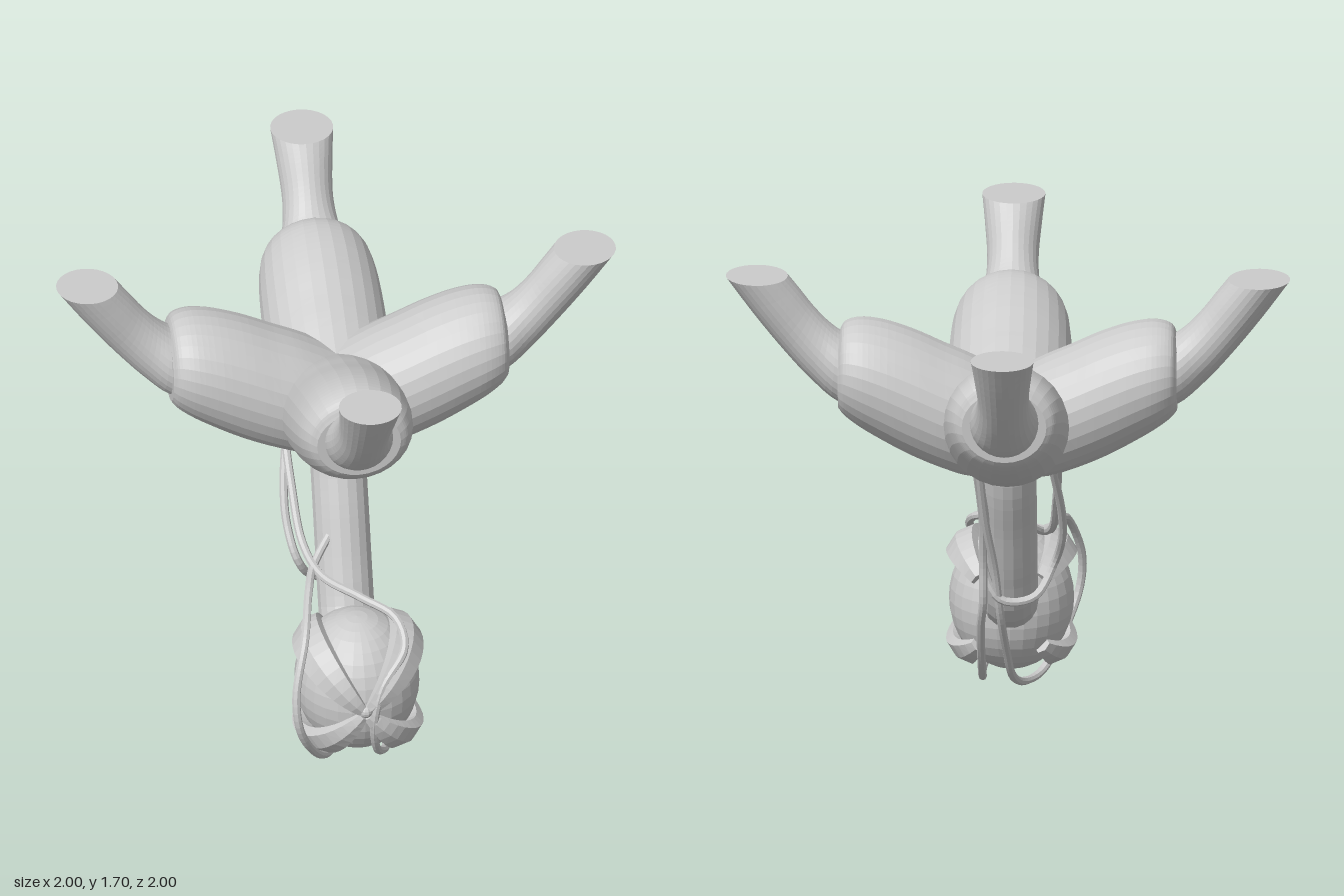
import * as THREE from 'three';

const V = (x, y, z) => new THREE.Vector3(x, y, z);
const material = new THREE.MeshStandardMaterial({ color: 0xcccccc, flatShading: true, side: THREE.DoubleSide });

function add(parent, name, geometry) {
  const mesh = new THREE.Mesh(geometry, material);
  mesh.name = name;
  parent.add(mesh);
  return mesh;
}

// Skin over oval rings; each section is { c: centre, up: half height, side: half width }
function loft(sections, sides) {
  const pos = [], idx = [], last = sections.length - 1;
  for (const { c, up, side } of sections) {
    for (let j = 0; j < sides; j++) {
      const a = (j / sides) * Math.PI * 2;
      pos.push(...c.clone().addScaledVector(up, Math.cos(a)).addScaledVector(side, Math.sin(a)).toArray());
    }
  }
  const start = pos.length / 3;
  pos.push(...sections[0].c.toArray(), ...sections[last].c.toArray());
  for (let j = 0; j < sides; j++) {
    const k = (j + 1) % sides;
    for (let i = 0; i < last; i++) {
      const a = i * sides + j, b = i * sides + k;
      idx.push(a, a + sides, b, b, a + sides, b + sides);
    }
    idx.push(start, j, k, start + 1, last * sides + k, last * sides + j);
  }
  const g = new THREE.BufferGeometry();
  g.setAttribute('position', new THREE.Float32BufferAttribute(pos, 3));
  g.setIndex(idx);
  g.computeVertexNormals();
  return g;
}

// Rows are [topZ, topY, bottomZ, bottomY, halfWidth], smoothed along the length
function limb(rows, steps) {
  const curve = (f) => new THREE.CatmullRomCurve3(rows.map(f));
  const top = curve((r) => V(r[4], r[1], r[0]));
  const bottom = curve((r) => V(r[4], r[3], r[2]));
  const sections = [];
  for (let i = 0; i <= steps; i++) {
    const t = top.getPoint(i / steps), b = bottom.getPoint(i / steps);
    const side = V(t.x, 0, 0);
    t.x = b.x = 0;
    sections.push({ c: t.clone().add(b).multiplyScalar(0.5), up: t.clone().sub(b).multiplyScalar(0.5), side });
  }
  return loft(sections, 28);
}

function tube(points, radius, steps, sides) {
  const path = new THREE.CatmullRomCurve3(points.map((p) => V(...p)));
  return new THREE.TubeGeometry(path, steps, radius, sides);
}

export function createModel() {
  const model = new THREE.Group();
  model.name = 'hangingPod';

  // Four thick sleeves in a cross, each with a branch rising out of it
  const sleeve = limb([
    [0, 1.34, 0, 0.99, 0.215], [0.13, 1.41, 0.13, 0.975, 0.22], [0.22, 1.45, 0.22, 1.0, 0.222],
    [0.34, 1.505, 0.34, 1.05, 0.22], [0.45, 1.54, 0.45, 1.11, 0.213], [0.53, 1.547, 0.53, 1.16, 0.2],
    [0.58, 1.53, 0.58, 1.2, 0.178], [0.6, 1.49, 0.6, 1.225, 0.15],
  ], 28);
  const branch = limb([
    [0.5, 1.46, 0.5, 1.22, 0.125], [0.59, 1.5, 0.6, 1.245, 0.123], [0.64, 1.54, 0.7, 1.33, 0.1],
    [0.69, 1.595, 0.79, 1.43, 0.091], [0.74, 1.66, 0.9, 1.57, 0.1], [0.78, 1.71, 1.0, 1.71, 0.112],
  ], 20);
  for (let i = 0; i < 4; i++) {
    const arm = new THREE.Group();
    arm.name = 'arm' + (i + 1);
    arm.rotation.y = (i * Math.PI) / 2;
    add(arm, 'sleeve', sleeve);
    add(arm, 'branch', branch);
    model.add(arm);
  }

  // Stalk bending forward to the bulb
  add(model, 'stalk', tube([
    [0, 1.15, 0], [0, 0.95, 0.045], [0, 0.75, 0.13], [0, 0.55, 0.215], [0, 0.41, 0.29], [0, 0.34, 0.42],
  ], 0.1, 20, 18));

  // Bulb with a small tip
  const centre = V(0, 0.32, 0.54);
  const bulb = add(model, 'bulb', new THREE.SphereGeometry(1, 28, 18));
  bulb.scale.set(0.222, 0.26, 0.235);
  bulb.position.copy(centre);
  const tip = add(model, 'bulbTip', new THREE.SphereGeometry(0.025, 10, 8));
  tip.position.set(0, 0.33, 0.775);

  // Four claws wrapping the bulb from the stalk to the tip
  const claws = new THREE.Group();
  claws.name = 'claws';
  model.add(claws);
  [48, 132, 228, 312].forEach((deg, i) => {
    const a = THREE.MathUtils.degToRad(deg);
    const d = V(Math.cos(a), Math.sin(a), 0), z = V(0, 0, 1);
    const across = z.clone().cross(d);
    const sections = [];
    for (let k = 0; k <= 16; k++) {
      const t = k / 16, phi = 0.06 + t * 2.3;
      const swell = Math.sin(Math.PI * Math.min(1, t * 0.85 + 0.05));
      const n = d.clone().multiplyScalar(Math.sin(phi)).addScaledVector(z, Math.cos(phi));
      sections.push({
        c: centre.clone().addScaledVector(n, 0.232 + 0.03 * swell),
        up: n.clone().multiplyScalar(0.012 + 0.026 * swell),
        side: across.clone().multiplyScalar(0.012 + 0.062 * swell),
      });
    }
    add(claws, 'claw' + (i + 1), loft(sections, 6));
  });

  // Loose vines looping round the stalk and bulb
  const vines = new THREE.Group();
  vines.name = 'vines';
  model.add(vines);
  add(vines, 'outerVine', tube([
    [0.1, 1.03, -0.1], [0.08, 0.87, 0.08], [-0.03, 0.74, 0.19], [-0.12, 0.65, 0.3], [-0.16, 0.635, 0.45],
    [-0.2, 0.57, 0.65], [-0.245, 0.4, 0.75], [-0.235, 0.27, 0.765], [-0.18, 0.13, 0.7], [-0.11, 0.03, 0.58],
    [-0.05, 0.03, 0.46], [-0.01, 0.09, 0.34], [0.01, 0.22, 0.23], [0.03, 0.4, 0.11], [0.05, 0.6, 0.05],
    [0.08, 0.8, -0.03], [0.1, 1.03, -0.12],
  ], 0.015, 110, 8));
  add(vines, 'frontVine', tube([
    [-0.18, 1.03, -0.1], [-0.17, 0.85, 0.06], [-0.15, 0.69, 0.22], [-0.1, 0.64, 0.36], [0.02, 0.63, 0.5],
    [0.13, 0.6, 0.6], [0.15, 0.53, 0.69], [0.06, 0.42, 0.77], [0.03, 0.28, 0.78], [0.05, 0.12, 0.71],
    [0.1, 0.045, 0.58], [0.1, 0.05, 0.45], [0.1, 0.15, 0.3], [0.1, 0.35, 0.14], [0.09, 0.46, 0.08],
    [0.09, 0.62, 0.06], [0.09, 0.8, 0], [0.11, 1.03, -0.11],
  ], 0.015, 110, 8));
  add(vines, 'backVine', tube([
    [-0.16, 1.03, -0.1], [-0.19, 0.82, 0.02], [-0.19, 0.7, 0.09], [-0.16, 0.58, 0.16], [-0.09, 0.47, 0.11],
    [0.03, 0.47, 0.08], [0.09, 0.6, 0.08], [0.08, 0.78, 0.02], [0.11, 1.03, -0.1],
  ], 0.015, 60, 8));

  return model;
}
